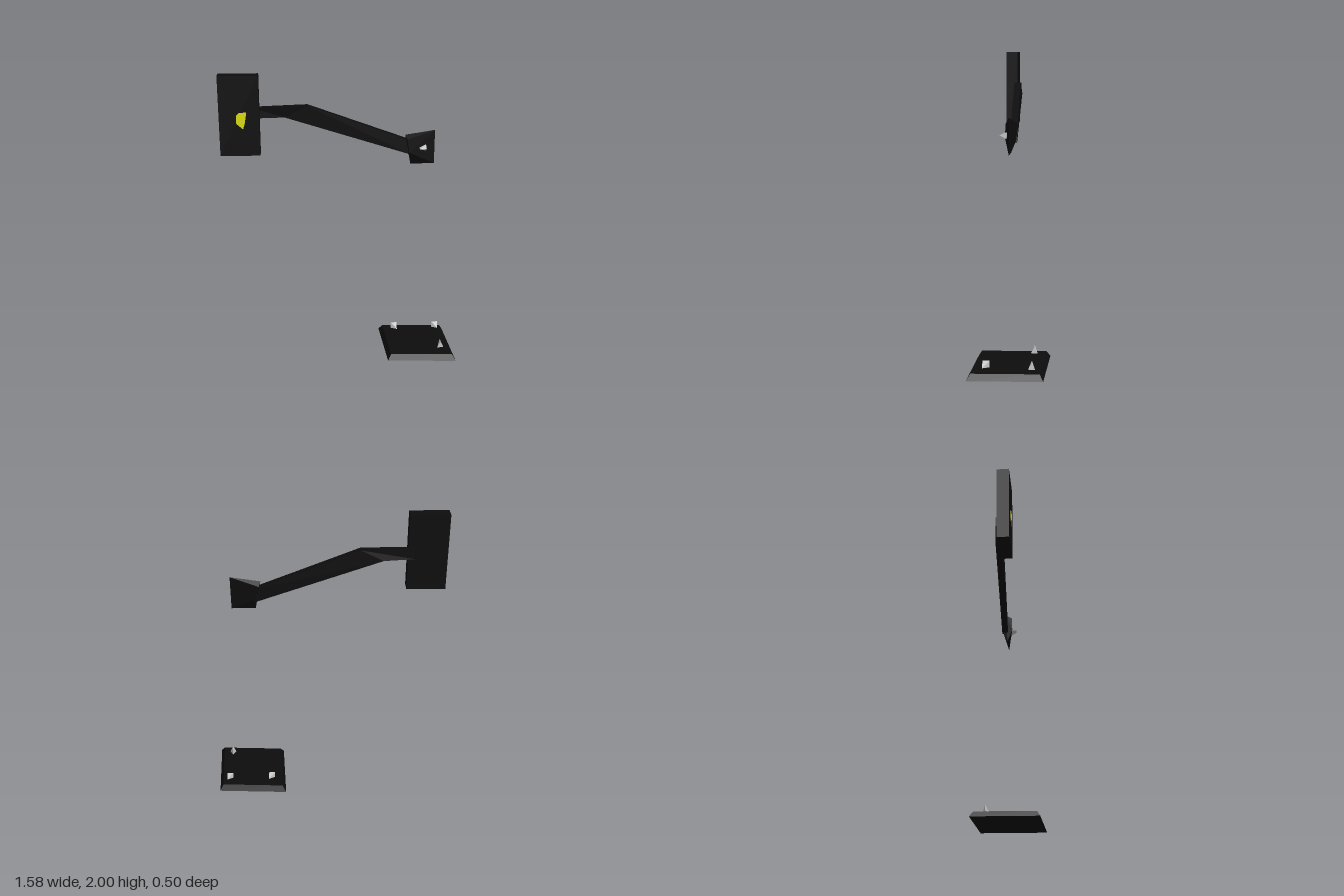
import * as THREE from 'three';
import { ConvexGeometry } from 'three/addons/geometries/ConvexGeometry.js';

const material = (name, color) => {
  const m = new THREE.MeshStandardMaterial({ color });
  m.name = name;
  return m;
};

// Faceted solid through four-cornered sections, each counterclockwise seen from the far end
function loft(sections) {
  const pos = [];
  const quad = (a, b, c, d) => [a, b, c, a, c, d].forEach((p) => pos.push(...p));
  for (let i = 0; i < sections.length - 1; i++) {
    const p = sections[i], q = sections[i + 1];
    for (let k = 0; k < 4; k++) {
      const n = (k + 1) % 4;
      quad(p[k], p[n], q[n], q[k]);
    }
  }
  const s = sections[0], e = sections[sections.length - 1];
  quad(s[0], s[3], s[2], s[1]);
  quad(e[0], e[1], e[2], e[3]);
  const g = new THREE.BufferGeometry();
  g.setAttribute('position', new THREE.Float32BufferAttribute(pos, 3));
  g.computeVertexNormals();
  return g;
}

const hull = (points) => new ConvexGeometry(points.map((p) => new THREE.Vector3(...p)));

export function createModel() {
  const group = new THREE.Group();
  const black = material('black', 0x0d0d0d);
  const grey = material('grey', 0xc8c8c8);
  const yellow = material('yellow', 0xdcdc10);

  const add = (name, geometry, mat, x = 0, y = 0, z = 0) => {
    const mesh = new THREE.Mesh(geometry, mat);
    mesh.name = name;
    mesh.position.set(x, y, z);
    group.add(mesh);
    return mesh;
  };

  // Slightly turned base plate with sloping sides
  const corners = [[0.288, -0.25], [0.313, 0.225], [0.786, 0.25], [0.761, -0.225]];
  const cx = 0.537;
  const ring = (y, s) => corners.map(([x, z]) => [cx + (x - cx) * s, y, z * s]);
  add('basePlate', loft([ring(0, 1), ring(0.04, 0.9)]), black);

  // Upright panel with its yellow mark
  add('panel', new THREE.BoxGeometry(0.257, 0.52, 0.08), black, -0.662, 1.74, 0.076);
  const mark = new THREE.Shape(
    [[-0.68, 1.693], [-0.638, 1.656], [-0.625, 1.7], [-0.614, 1.767], [-0.664, 1.762], [-0.68, 1.746]]
      .map(([x, y]) => new THREE.Vector2(x, y)));
  add('panelMark', new THREE.ExtrudeGeometry(mark, { depth: 0.004, bevelEnabled: false }),
    yellow, 0, 0, 0.115);

  // Bent arm: bottom x, y, top x, y, middle z, half depth
  const arm = [
    [-0.575, 1.71, -0.575, 1.778, 0.03, 0.021],
    [-0.373, 1.709, -0.225, 1.785, 0.01, 0.022],
    [0.46, 1.437, 0.44, 1.538, -0.02, 0.021],
  ].map(([bx, by, tx, ty, z, h]) => [
    [bx, by, z - h], [tx, ty, z - h], [tx, ty, z + h], [bx, by, z + h],
  ]);
  add('arm', loft(arm), black);

  // Wedge-shaped head, thick where it meets the arm
  add('head', hull([
    [0.42, 1.572, -0.008], [0.617, 1.603, -0.005], [0.617, 1.374, -0.003], [0.458, 1.374, -0.003],
    [0.43, 1.55, -0.045], [0.445, 1.46, -0.038], [0.43, 1.55, 0.035], [0.445, 1.46, 0.035],
  ]), black);

  // Small wedge studs: three above the base, one on the head
  const h = 0.022;
  const stud = hull([[-h, -h, 0], [-h, h, 0], [h, h, 0], [h, -h, h], [h, -h, -h]]);
  add('baseStud', stud, grey, 0.39, 0.08, -0.15);
  add('baseStud', stud, grey, 0.69, 0.08, -0.15);
  add('baseStud', stud, grey, 0.69, 0.08, 0.135).rotation.y = -Math.PI / 2;
  add('headStud', stud, grey, 0.535, 1.49, 0.038).rotation.x = Math.PI / 2;

  return group;
}
